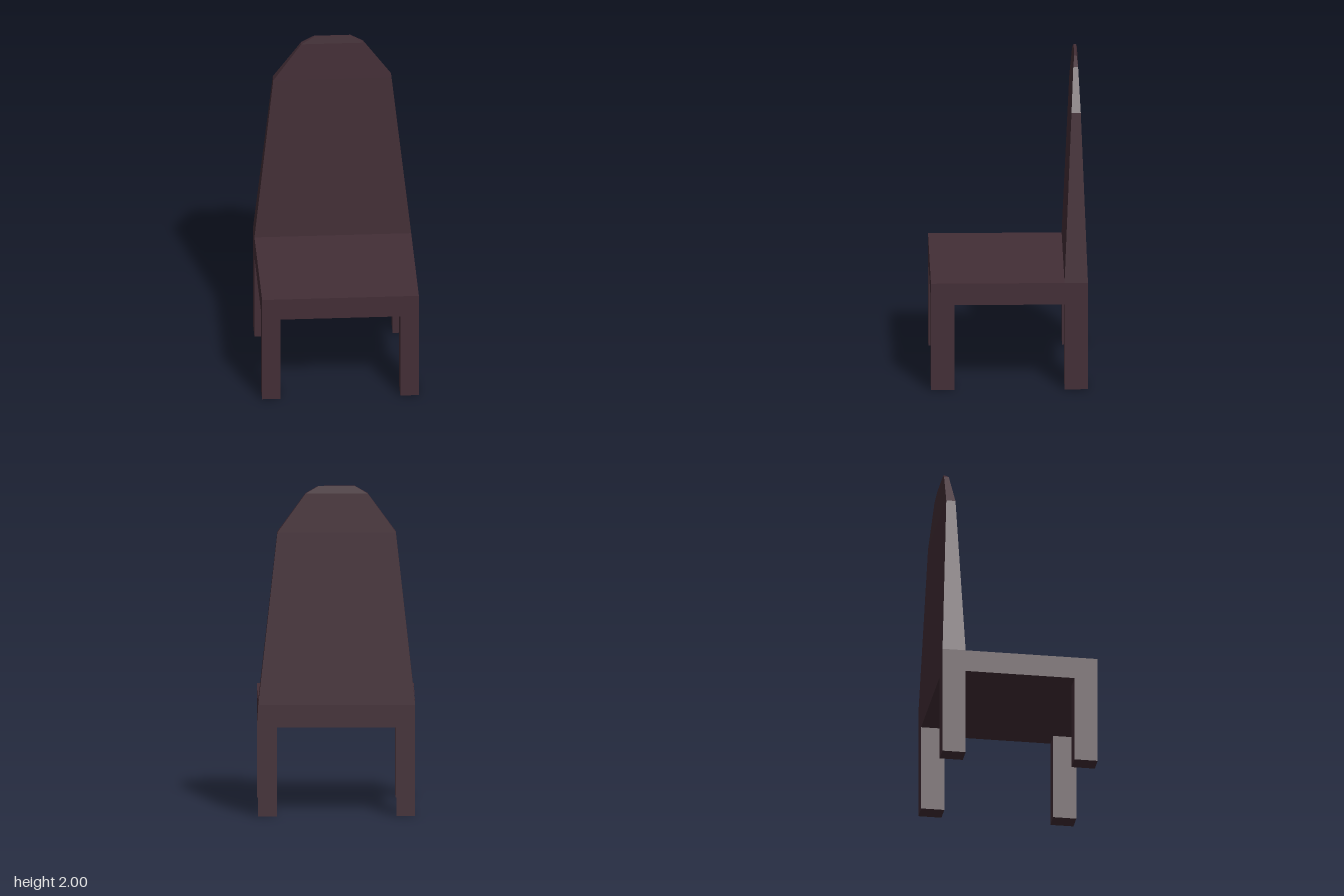
import * as THREE from 'three';

const HALF = 0.473, SEAT_BOTTOM = 0.54, SEAT_TOP = 0.677;
const LEG_W = 0.112, LEG_D = 0.141;

// Loft through rectangular sections [y, halfWidth, zBack, zFront], capped at both ends
function loftRects(sections) {
  const positions = [], index = [];
  for (const [y, w, zb, zf] of sections) {
    positions.push(-w, y, zf, w, y, zf, w, y, zb, -w, y, zb);
  }
  for (let s = 0; s < sections.length - 1; s++) {
    for (let i = 0; i < 4; i++) {
      const a = s * 4 + i, b = s * 4 + (i + 1) % 4;
      index.push(a, b, b + 4, a, b + 4, a + 4);
    }
  }
  const t = (sections.length - 1) * 4;
  index.push(0, 2, 1, 0, 3, 2, t, t + 1, t + 2, t, t + 2, t + 3);
  const indexed = new THREE.BufferGeometry();
  indexed.setAttribute('position', new THREE.Float32BufferAttribute(positions, 3));
  indexed.setIndex(index);
  const geometry = indexed.toNonIndexed();
  geometry.computeVertexNormals();
  return geometry;
}

export function createModel() {
  const chair = new THREE.Group();
  chair.name = 'chair';
  const wood = new THREE.MeshStandardMaterial({ color: 0x432e36 });
  wood.name = 'darkWood';

  const add = (name, geometry, x = 0, y = 0, z = 0) => {
    const mesh = new THREE.Mesh(geometry, wood);
    mesh.name = name;
    mesh.position.set(x, y, z);
    chair.add(mesh);
  };

  // Thick square seat
  add('seat', new THREE.BoxGeometry(HALF * 2, SEAT_TOP - SEAT_BOTTOM, HALF * 2),
    0, (SEAT_TOP + SEAT_BOTTOM) / 2, 0);

  // Four legs flush with the seat corners
  const legGeometry = new THREE.BoxGeometry(LEG_W, SEAT_BOTTOM, LEG_D);
  for (const [sideName, sx] of [['Left', 1], ['Right', -1]]) {
    for (const [endName, sz] of [['front', 1], ['back', -1]]) {
      add(`${endName}${sideName}Leg`, legGeometry,
        sx * (HALF - LEG_W / 2), SEAT_BOTTOM / 2, sz * (HALF - LEG_D / 2));
    }
  }

  // Tall backrest, tapering in width and thickness to a faceted crown
  add('backrest', loftRects([
    [SEAT_TOP, HALF, -HALF, -0.332],
    [1.72, 0.357, -0.432, -0.376],
    [1.955, 0.187, -0.419, -0.390],
    [2.0, 0.11, -0.412, -0.397],
  ]));

  return chair;
}
